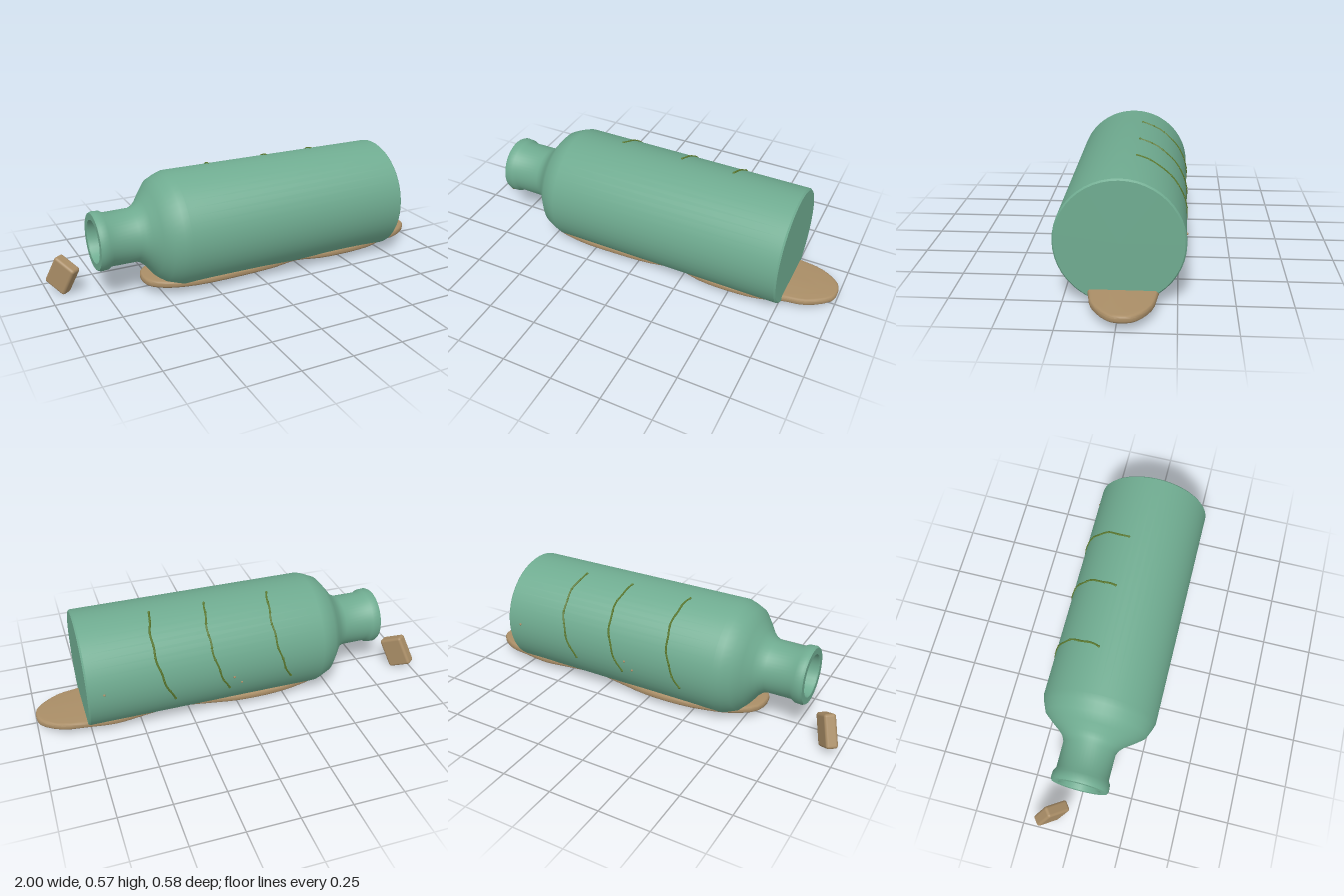
import * as THREE from 'three';
import { toCreasedNormals } from 'three/addons/utils/BufferGeometryUtils.js';
import { RoundedBoxGeometry } from 'three/addons/geometries/RoundedBoxGeometry.js';

const AXIS_Y = 0.288, RADIUS = 0.285;

function material(name, color) {
  const m = new THREE.MeshStandardMaterial({ color });
  m.name = name;
  return m;
}

export function createModel() {
  const group = new THREE.Group();
  const glass = material('sea green glass', 0x6fab90);
  const sand = material('sand brown', 0xa98d66);
  const vine = material('olive vine', 0x5c7a2e);

  const add = (name, geometry, mat, parent = group) => {
    const mesh = new THREE.Mesh(geometry, mat);
    mesh.name = name;
    parent.add(mesh);
    return mesh;
  };

  // Bottle lying along x: [radius, x] from the base to the mouth and into the neck
  const profile = [
    [0, 0.768], [0.278, 0.768], [RADIUS, 0.76], [RADIUS, -0.41],
    [0.275, -0.44], [0.255, -0.485], [0.21, -0.522], [0.165, -0.555], [0.142, -0.58], [0.131, -0.605],
    [0.13, -0.735], [0.141, -0.752], [0.143, -0.785], [0.137, -0.797],
    [0.105, -0.797], [0.1, -0.79], [0.1, -0.6], [0.13, -0.54], [0.13, -0.4], [0, -0.4],
  ].map(([r, x]) => new THREE.Vector2(r, -x));
  const bottle = add('bottle', toCreasedNormals(new THREE.LatheGeometry(profile, 48), 0.65), glass);
  bottle.rotation.z = Math.PI / 2;
  bottle.position.y = AXIS_Y;

  // Irregular sand bed under the bottle: outline in x and z
  const outline = [
    [1.0, -0.02], [0.985, 0.035], [0.88, 0.112], [0.77, 0.135], [0.66, 0.172], [0.5, 0.187],
    [0.35, 0.18], [0.22, 0.15], [0.08, 0.175], [-0.12, 0.187], [-0.35, 0.182], [-0.5, 0.14],
    [-0.57, 0.07], [-0.56, -0.05], [-0.46, -0.13], [-0.34, -0.17], [-0.2, -0.194], [0, -0.195],
    [0.17, -0.168], [0.32, -0.145], [0.48, -0.162], [0.63, -0.182], [0.77, -0.166],
    [0.89, -0.145], [0.985, -0.08],
  ].map(([x, z]) => new THREE.Vector3(x, -z, 0));
  const curve = new THREE.CatmullRomCurve3(outline, true);
  // Counter-clockwise outline once z is flipped
  const shape = new THREE.Shape(curve.getPoints(75).slice(0, -1).reverse().map(p => new THREE.Vector2(p.x, p.y)));
  const bed = new THREE.ExtrudeGeometry(shape, {
    depth: 0.013, bevelThickness: 0.011, bevelSize: 0.013, bevelOffset: -0.013, bevelSegments: 3,
  });
  bed.rotateX(-Math.PI / 2);
  bed.translate(0, 0.05, 0);
  add('sandBed', toCreasedNormals(bed, 0.7), sand);

  // Loose stopper lying tilted by the mouth
  const stopper = add('stopper', new RoundedBoxGeometry(0.125, 0.16, 0.058, 3, 0.014), sand);
  stopper.position.set(-0.928, 0.098, -0.115);
  stopper.rotation.set(0, -0.92, -0.5);

  // Point on the glass, angle measured from the top toward the back
  const onGlass = (x, a, r = RADIUS) =>
    new THREE.Vector3(x, AXIS_Y + Math.cos(a) * r, -Math.sin(a) * r);

  // Three thin strands bending over the back, with small nodes
  [-0.155, 0.165, 0.435].forEach((x0, i) => {
    const strand = new THREE.Group();
    strand.name = 'strand' + (i + 1);
    group.add(strand);
    const at = t => {
      const a = 0.2 + 1.68 * t;
      return onGlass(x0 - 0.07 * (a - 0.8) ** 2 + 0.003 * Math.sin(t * 23 + i), a);
    };
    const points = Array.from({ length: 20 }, (_, k) => at(k / 19));
    add('stem', new THREE.TubeGeometry(new THREE.CatmullRomCurve3(points), 48, 0.0048, 6), vine, strand);
    for (let k = 0; k <= 8; k++) {
      const node = add('node', new THREE.SphereGeometry(0.0065, 8, 6), vine, strand);
      node.position.copy(at(k / 8));
    }
  });

  // Tiny grains stuck on the back of the glass
  [[0.69, 1.5], [0.06, 1.65], [0.02, 1.8]].forEach(([x, a]) => {
    add('grain', new THREE.SphereGeometry(0.006, 8, 6), sand).position.copy(onGlass(x, a));
  });

  return group;
}
